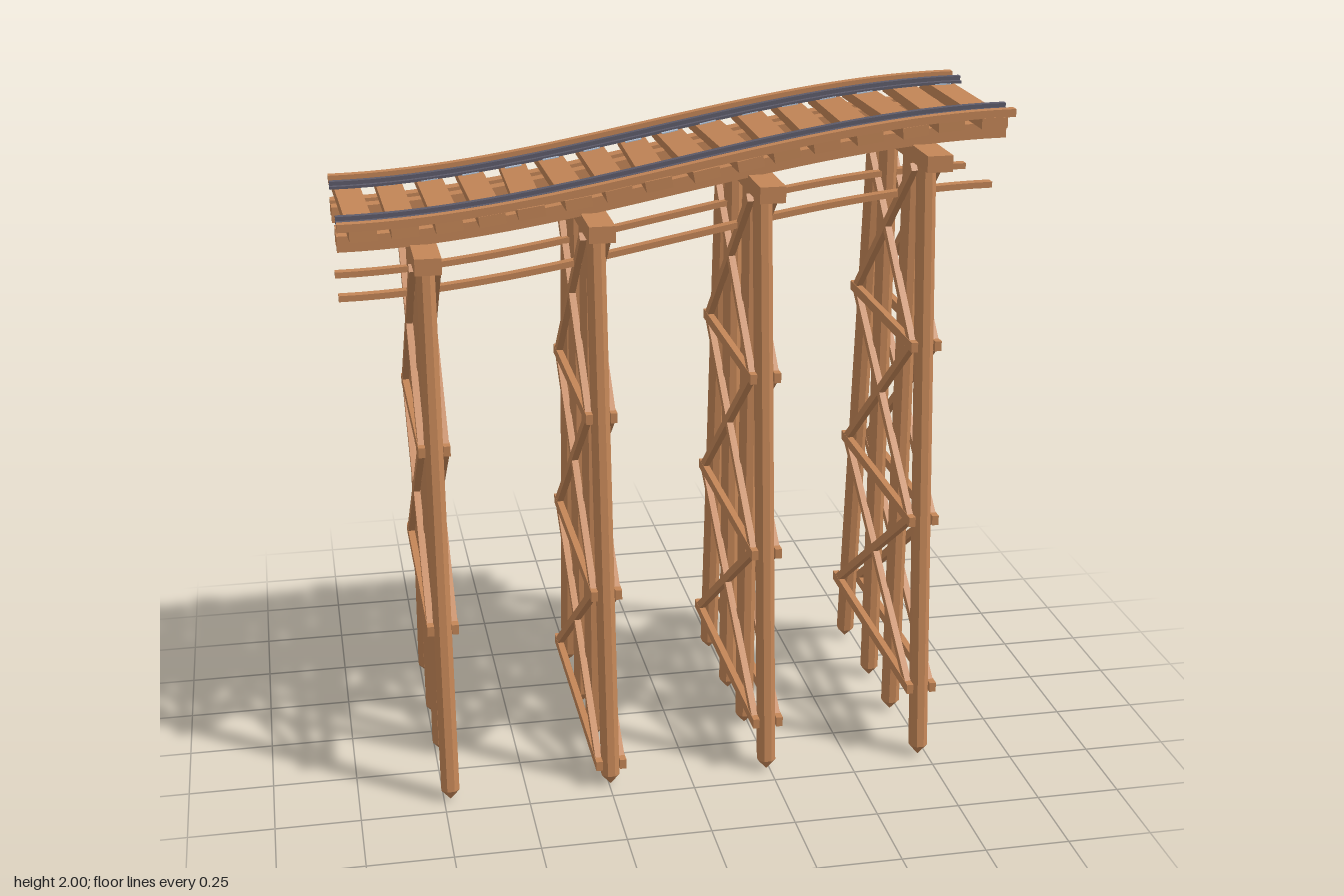
import * as THREE from 'three';

const wood = new THREE.MeshStandardMaterial({ color: 0xc48657 });
wood.name = 'timber';
const steel = new THREE.MeshStandardMaterial({ color: 0x5e5c6b });
steel.name = 'railSteel';
const pale = new THREE.MeshStandardMaterial({ color: 0xb4c4d8 });
pale.name = 'plateSteel';

const HALF = 0.97;

// Height of the deck's upper line: an eased climb from left to right
function deckY(x) {
  const t = THREE.MathUtils.clamp((x + HALF) / (2 * HALF), 0, 1);
  return 1.755 + 0.245 * t * t * (3 - 2 * t);
}
function deckSlope(x) {
  return Math.atan((deckY(x + 0.01) - deckY(x - 0.01)) / 0.02);
}

function add(parent, name, geometry, material) {
  const mesh = new THREE.Mesh(geometry, material);
  mesh.name = name;
  parent.add(mesh);
  return mesh;
}

// Long beam that follows the deck curve; top is measured from the deck line
function curvedBeam(parent, name, z, width, top, height, material) {
  const g = new THREE.BoxGeometry(2 * HALF, height, width, 32, 1, 1);
  const p = g.attributes.position;
  for (let i = 0; i < p.count; i++) {
    p.setY(i, p.getY(i) + deckY(p.getX(i)) + top - height / 2);
  }
  g.computeVertexNormals();
  add(parent, name, g, material).position.z = z;
}

// Place a mesh whose length runs along y between two points
function span(mesh, a, b) {
  mesh.position.copy(a).add(b).multiplyScalar(0.5);
  const dir = b.clone().sub(a).normalize();
  mesh.quaternion.setFromUnitVectors(new THREE.Vector3(0, 1, 0), dir);
  return mesh;
}

function plank(parent, name, a, b, thick, wide) {
  const g = new THREE.BoxGeometry(thick, a.distanceTo(b), wide);
  return span(add(parent, name, g, wood), a, b);
}

// Eight-sided pile with a pointed foot
function pile(parent, name, top, foot) {
  const r = 0.0287, tip = 0.032;
  const dir = top.clone().sub(foot).normalize();
  const shoulder = foot.clone().addScaledVector(dir, tip);
  const shaft = new THREE.CylinderGeometry(r, r, top.distanceTo(shoulder), 8).rotateY(Math.PI / 8).toNonIndexed();
  shaft.computeVertexNormals();
  span(add(parent, name, shaft, wood), shoulder, top);
  const point = new THREE.ConeGeometry(r, tip, 8).rotateX(Math.PI).rotateY(Math.PI / 8).toNonIndexed();
  point.computeVertexNormals();
  span(add(parent, name + 'Point', point, wood), foot, shoulder);
}

// One trestle frame: cap, four piles, horizontal girts and crossed braces
function makeBent(x, tiers) {
  const bent = new THREE.Group();
  bent.name = 'trestleBent';
  bent.position.x = x;
  const capTop = deckY(x) - 0.098;
  const legTop = capTop - 0.048;
  const v = (px, y, z) => new THREE.Vector3(px, y, z);
  const legZ = (y) => THREE.MathUtils.lerp(0.425, 0.25, y / legTop);

  add(bent, 'capBeam', new THREE.BoxGeometry(0.075, 0.048, 0.76), wood).position.y = capTop - 0.024;
  for (const s of [-1, 1]) {
    pile(bent, 'batterPile', v(0, legTop + 0.01, s * 0.25), v(0, 0.005, s * 0.425));
    pile(bent, 'innerPile', v(0, legTop + 0.01, s * 0.122), v(0, 0.005, s * 0.122));
  }

  const step = 0.536;
  for (const side of [-1, 1]) {
    for (let i = 0; i < tiers; i++) {
      const y1 = legTop - i * step - (i === 0 ? 0.012 : 0);
      const y0 = legTop - (i + 1) * step;
      const reach = legZ(y0) + 0.03;
      plank(bent, 'girt', v(side * 0.036, y0, -reach), v(side * 0.036, y0, reach), 0.02, 0.03);
      for (const s of [-1, 1]) {
        const bx = side * (0.035 + s * 0.0005);
        plank(bent, 'crossBrace', v(bx, y1, s * legZ(y1)), v(bx, y0, -s * legZ(y0)), 0.02, 0.026);
      }
    }
  }
  return bent;
}

export function createModel() {
  const model = new THREE.Group();
  model.name = 'railwayTrestle';

  let seed = 7;
  const jitter = () => {
    seed = (seed * 16807) % 2147483647;
    return (seed / 2147483647) * 2 - 1;
  };

  // Supporting frames
  [-0.73, -0.245, 0.24, 0.725].forEach((x, i) => model.add(makeBent(x, i === 0 ? 2 : 3)));

  // Lengthwise timbers and rails
  for (const s of [-1, 1]) {
    curvedBeam(model, 'outerStringer', s * 0.207, 0.045, -0.053, 0.046, wood);
    curvedBeam(model, 'innerStringer', s * 0.122, 0.045, -0.053, 0.046, wood);
    curvedBeam(model, 'guardTimber', s * 0.29, 0.028, 0, 0.023, wood);
    curvedBeam(model, 'longitudinalTie', s * 0.122, 0.03, -0.253, 0.018, wood);
    curvedBeam(model, 'railFoot', s * 0.207, 0.04, -0.013, 0.008, steel);
    curvedBeam(model, 'railWeb', s * 0.207, 0.01, -0.006, 0.008, steel);
    curvedBeam(model, 'railHead', s * 0.207, 0.02, 0, 0.007, steel);
  }

  // Slightly uneven cross ties with rail plates
  for (let i = 0; i < 16; i++) {
    const x = -0.91 + i * 0.1213;
    const tie = new THREE.Group();
    tie.name = 'crossTie';
    tie.position.set(x, deckY(x) - 0.038, jitter() * 0.01);
    tie.rotation.set(0, jitter() * 0.045, deckSlope(x) + jitter() * 0.02);
    add(tie, 'tieTimber', new THREE.BoxGeometry(0.077, 0.032, 0.61), wood);
    for (const s of [-1, 1]) {
      const plate = add(tie, 'railPlate', new THREE.BoxGeometry(0.05, 0.004, 0.05), pale);
      plate.position.set(0, 0.017, s * 0.207);
    }
    model.add(tie);
  }
  return model;
}
